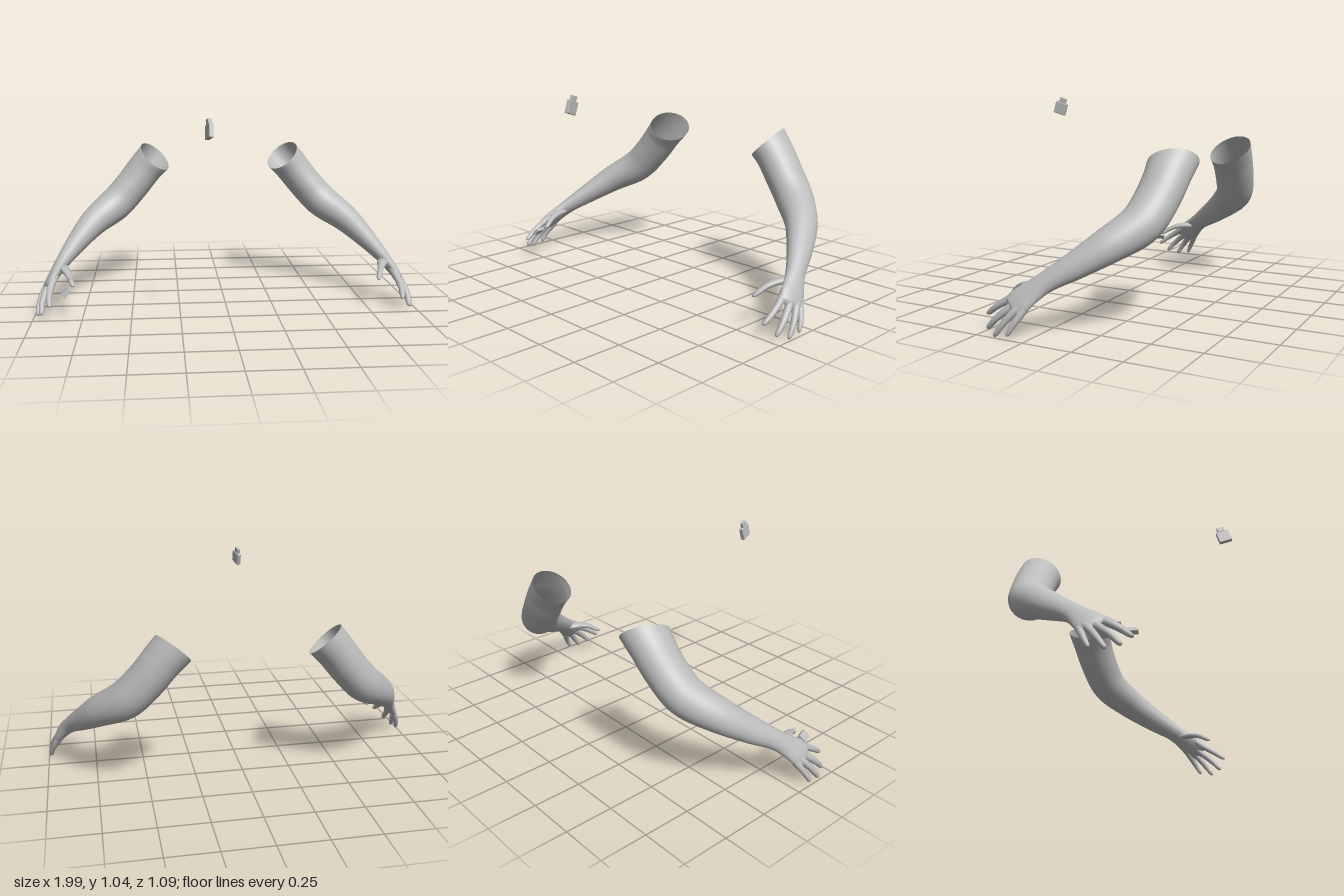
import * as THREE from 'three';
import { RoundedBoxGeometry } from 'three/addons/geometries/RoundedBoxGeometry.js';

const grey = new THREE.MeshStandardMaterial({ color: 0xbcbcbc, side: THREE.DoubleSide });
grey.name = 'plain grey';
const V = (a) => new THREE.Vector3(...a);

// Smooth tube of elliptical sections; rows: [centre], [width axis], half width, half thickness
function loft(rows, rings, sides, closeEnd) {
  const path = new THREE.CatmullRomCurve3(rows.map((r) => V(r[0])));
  const axis = new THREE.CatmullRomCurve3(rows.map((r) => V(r[1])));
  const size = new THREE.CatmullRomCurve3(rows.map((r) => V([r[2], r[3], 0])));
  const pos = [], index = [];
  for (let i = 0; i <= rings; i++) {
    const t = i / rings, c = path.getPoint(t), T = path.getTangent(t);
    const W = axis.getPoint(t).normalize();
    const N = T.clone().cross(W).normalize();
    const s = size.getPoint(t);
    for (let j = 0; j < sides; j++) {
      const a = (j / sides) * Math.PI * 2;
      const p = c.clone().addScaledVector(W, s.x * Math.cos(a)).addScaledVector(N, s.y * Math.sin(a));
      pos.push(p.x, p.y, p.z);
      if (i < rings) {
        const k = (j + 1) % sides, A = i * sides, B = A + sides;
        index.push(A + j, A + k, B + j, A + k, B + k, B + j);
      }
    }
  }
  if (closeEnd) {
    const e = path.getPoint(1), n = pos.length / 3;
    pos.push(e.x, e.y, e.z);
    for (let j = 0; j < sides; j++) index.push(n - sides + j, n - sides + (j + 1) % sides, n);
  }
  const g = new THREE.BufferGeometry();
  g.setAttribute('position', new THREE.Float32BufferAttribute(pos, 3));
  g.setIndex(index);
  g.computeVertexNormals();
  return g;
}

// Finger: tapered bent tube with a rounded tip
function finger(points, r0, r1) {
  const curve = new THREE.CatmullRomCurve3(points.map(V));
  const W = [-0.36, 0.54, 0.76];
  const stops = [[0, r0], [0.25, r0 * 0.95], [0.5, (r0 + r1) / 2], [0.75, r1 * 1.08], [0.92, r1 * 0.9], [0.98, r1 * 0.6], [1, r1 * 0.15]];
  return loft(stops.map(([t, r]) => [curve.getPoint(t).toArray(), W, r, r]), 24, 12, true);
}

function mirrored(geometry) {
  const g = geometry.clone().scale(-1, 1, 1);
  const a = g.index.array;
  for (let i = 0; i < a.length; i += 3) [a[i], a[i + 1]] = [a[i + 1], a[i]];
  g.computeVertexNormals();
  return g;
}

// Box placed by its centre, size and two axis directions
function box(name, centre, size, along, up) {
  const m = new THREE.Mesh(new RoundedBoxGeometry(...size, 2, Math.min(...size) * 0.15), grey);
  const e1 = V(along).normalize();
  const e3 = e1.clone().cross(V(up)).normalize();
  m.quaternion.setFromRotationMatrix(new THREE.Matrix4().makeBasis(e1, e3.clone().cross(e1), e3));
  m.position.set(...centre);
  m.name = name;
  return m;
}

export function createModel() {
  const model = new THREE.Group();
  model.name = 'arms';

  const parts = {
    // open shoulder end, elbow, wrist, palm
    armAndPalm: loft([
      [[0.37, 0.757, -0.425], [0.16, -0.2, 0.97], 0.125, 0.102],
      [[0.425, 0.695, -0.42], [0.05, -0.07, 1], 0.113, 0.098],
      [[0.5, 0.6, -0.405], [0, 0.05, 1], 0.108, 0.096],
      [[0.595, 0.497, -0.37], [-0.2, 0.3, 0.9], 0.102, 0.095],
      [[0.715, 0.41, -0.27], [-0.4, 0.5, 0.75], 0.086, 0.078],
      [[0.8, 0.325, -0.15], [-0.45, 0.6, 0.66], 0.068, 0.057],
      [[0.868, 0.245, -0.03], [-0.36, 0.54, 0.76], 0.052, 0.038],
      [[0.897, 0.205, 0.02], [-0.36, 0.54, 0.76], 0.058, 0.031],
      [[0.922, 0.167, 0.063], [-0.36, 0.54, 0.76], 0.067, 0.026],
      [[0.937, 0.142, 0.09], [-0.36, 0.54, 0.76], 0.06, 0.02],
      [[0.943, 0.13, 0.102], [-0.36, 0.54, 0.76], 0.035, 0.007],
    ], 70, 28, true),
    indexFinger: finger([[0.898, 0.195, 0.085], [0.91, 0.163, 0.13], [0.918, 0.125, 0.19], [0.91, 0.076, 0.255]], 0.021, 0.014),
    middleFinger: finger([[0.92, 0.165, 0.07], [0.938, 0.13, 0.11], [0.956, 0.085, 0.165], [0.957, 0.025, 0.22]], 0.021, 0.014),
    ringFinger: finger([[0.935, 0.15, 0.045], [0.957, 0.115, 0.08], [0.977, 0.065, 0.12], [0.985, 0.005, 0.163]], 0.02, 0.013),
    littleFinger: finger([[0.935, 0.14, 0.025], [0.957, 0.105, 0.045], [0.977, 0.065, 0.066], [0.988, 0.018, 0.092]], 0.019, 0.012),
    thumb: finger([[0.875, 0.225, 0.0], [0.85, 0.22, 0.06], [0.826, 0.208, 0.12], [0.795, 0.163, 0.192]], 0.031, 0.014),
  };
  for (const side of ['left', 'right']) {
    const arm = new THREE.Group();
    arm.name = side + 'Arm';
    for (const [name, g] of Object.entries(parts)) {
      const m = new THREE.Mesh(side === 'left' ? g : mirrored(g), grey);
      m.name = name;
      arm.add(m);
    }
    model.add(arm);
  }

  // floating pocket lighter: case, chimney, wheel
  const along = [0.25, 0.3, 0.92], up = [0, 0.95, -0.31];
  const lighter = new THREE.Group();
  lighter.name = 'lighter';
  lighter.add(
    box('lighterCase', [-0.117, 0.977, 0.504], [0.068, 0.066, 0.022], along, up),
    box('lighterChimney', [-0.119, 1.021, 0.489], [0.038, 0.028, 0.016], along, up),
    box('lighterWheel', [-0.113, 1.013, 0.515], [0.014, 0.014, 0.01], along, up),
  );
  model.add(lighter);

  // loose lid and hinge by the right hand
  const lid = new THREE.Group();
  lid.name = 'lighterLid';
  lid.add(
    box('lidShell', [-0.832, 0.143, 0.222], [0.058, 0.044, 0.021], [0.3, 0.08, 0.95], [0.75, 0.66, 0]),
    box('lidHinge', [-0.815, 0.198, 0.16], [0.02, 0.014, 0.012], [0.3, 0.08, 0.95], [0.75, 0.66, 0]),
  );
  model.add(lid);
  return model;
}
